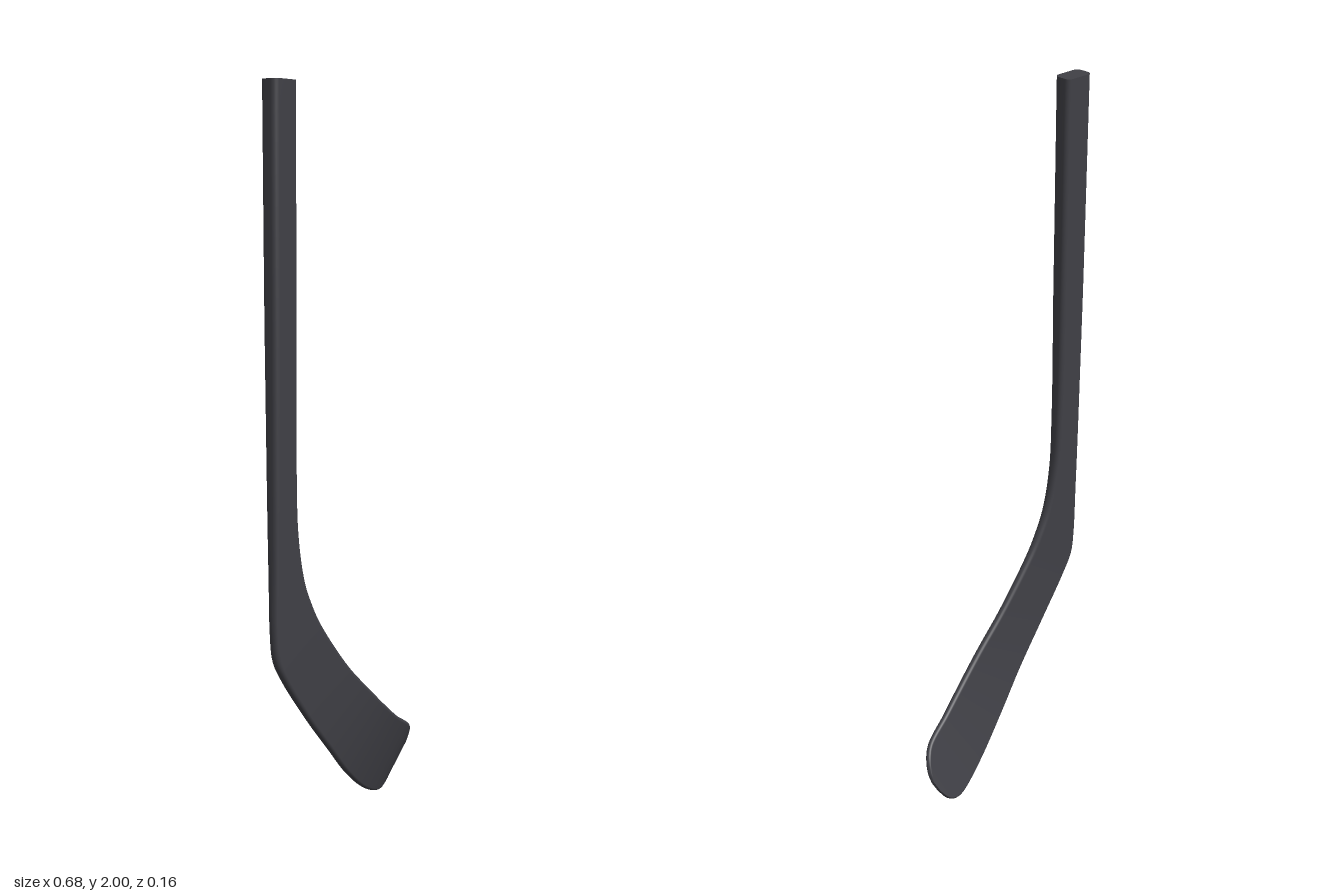
import * as THREE from 'three';

// Stations down the stick: inner edge x,y,z | outer edge x,y,z | thickness
const STATIONS = [
  [-0.257, 2.0, 0.055, -0.341, 2.0, 0.055, 0.052],
  [-0.257, 1.4, 0.055, -0.341, 1.4, 0.055, 0.049],
  [-0.257, 1.02, 0.056, -0.341, 0.98, 0.056, 0.042],
  [-0.25, 0.86, 0.057, -0.341, 0.76, 0.057, 0.035],
  [-0.225, 0.73, 0.058, -0.341, 0.6, 0.058, 0.03],
  [-0.195, 0.66, 0.058, -0.333, 0.53, 0.058, 0.028],
  [-0.16, 0.6, 0.058, -0.304, 0.476, 0.057, 0.026],
  [-0.045, 0.46, 0.055, -0.2, 0.34, 0.05, 0.023],
  [0.06, 0.365, 0.047, -0.1, 0.23, 0.036, 0.022],
  [0.14, 0.3, 0.034, 0, 0.13, 0.012, 0.021],
  [0.22, 0.242, 0.016, 0.125, 0.04, -0.027, 0.019],
  [0.3, 0.195, -0.006, 0.225, 0, -0.06, 0.017],
  [0.328, 0.165, -0.028, 0.265, 0.008, -0.072, 0.016],
  [0.338, 0.13, -0.046, 0.295, 0.03, -0.076, 0.014],
  [0.337, 0.105, -0.056, 0.32, 0.065, -0.069, 0.01],
];
const STEPS = 112;
const CORNER = 5;

// Rounded rectangle outline, counter-clockwise
function roundedRect(w, h, r) {
  const pts = [];
  for (let q = 0; q < 4; q++) {
    const cx = (q === 0 || q === 3 ? 1 : -1) * (w / 2 - r);
    const cy = (q < 2 ? 1 : -1) * (h / 2 - r);
    for (let k = 0; k <= CORNER; k++) {
      const a = (q + k / CORNER) * Math.PI / 2;
      pts.push([cx + r * Math.cos(a), cy + r * Math.sin(a)]);
    }
  }
  return pts;
}

// Loft of rounded rectangles spanning the two edge curves
function stickGeometry() {
  const curve = (pick) => new THREE.CatmullRomCurve3(STATIONS.map(pick));
  const inner = curve((s) => new THREE.Vector3(s[0], s[1], s[2]));
  const outer = curve((s) => new THREE.Vector3(s[3], s[4], s[5]));
  const middle = (t) => inner.getPoint(t).add(outer.getPoint(t)).multiplyScalar(0.5);
  const positions = [], index = [];
  const ringSize = 4 * (CORNER + 1);
  const rings = [];

  for (let i = 0; i <= STEPS; i++) {
    const t = i / STEPS;
    const a = inner.getPoint(t), b = outer.getPoint(t), c = middle(t);
    const along = middle(Math.min(1, t + 0.004)).sub(middle(Math.max(0, t - 0.004)));
    const u = a.clone().sub(b);
    const width = u.length();
    u.normalize();
    const n = u.clone().cross(along).normalize();
    const f = t * (STATIONS.length - 1);
    const k = Math.min(Math.floor(f), STATIONS.length - 2);
    const thick = THREE.MathUtils.lerp(STATIONS[k][6], STATIONS[k + 1][6], f - k);
    const ring = roundedRect(width, thick, Math.min(0.015, thick * 0.47))
      .map(([p, q]) => c.clone().addScaledVector(u, p).addScaledVector(n, q));
    rings.push(ring);
    ring.forEach((p) => positions.push(p.x, p.y, p.z));
  }
  for (let i = 0; i < STEPS; i++) {
    for (let j = 0; j < ringSize; j++) {
      const j2 = (j + 1) % ringSize;
      const p = i * ringSize + j, p2 = i * ringSize + j2;
      index.push(p, p + ringSize, p2, p2, p + ringSize, p2 + ringSize);
    }
  }

  // Flat caps with their own vertices, so the rims stay sharp
  for (const top of [true, false]) {
    const ring = top ? rings[0] : rings[STEPS];
    const start = positions.length / 3;
    ring.forEach((p) => positions.push(p.x, p.y, p.z));
    for (let j = 1; j < ringSize - 1; j++) {
      if (top) index.push(start, start + j, start + j + 1);
      else index.push(start, start + j + 1, start + j);
    }
  }

  const geometry = new THREE.BufferGeometry();
  geometry.setAttribute('position', new THREE.Float32BufferAttribute(positions, 3));
  geometry.setIndex(index);
  geometry.computeVertexNormals();
  return geometry;
}

export function createModel() {
  const group = new THREE.Group();
  group.name = 'hockeyStick';
  // Shaft and curved blade flow into each other as one piece
  const stick = new THREE.Mesh(stickGeometry(), new THREE.MeshStandardMaterial({ color: 0x404046 }));
  stick.name = 'shaftAndBlade';
  group.add(stick);
  return group;
}
